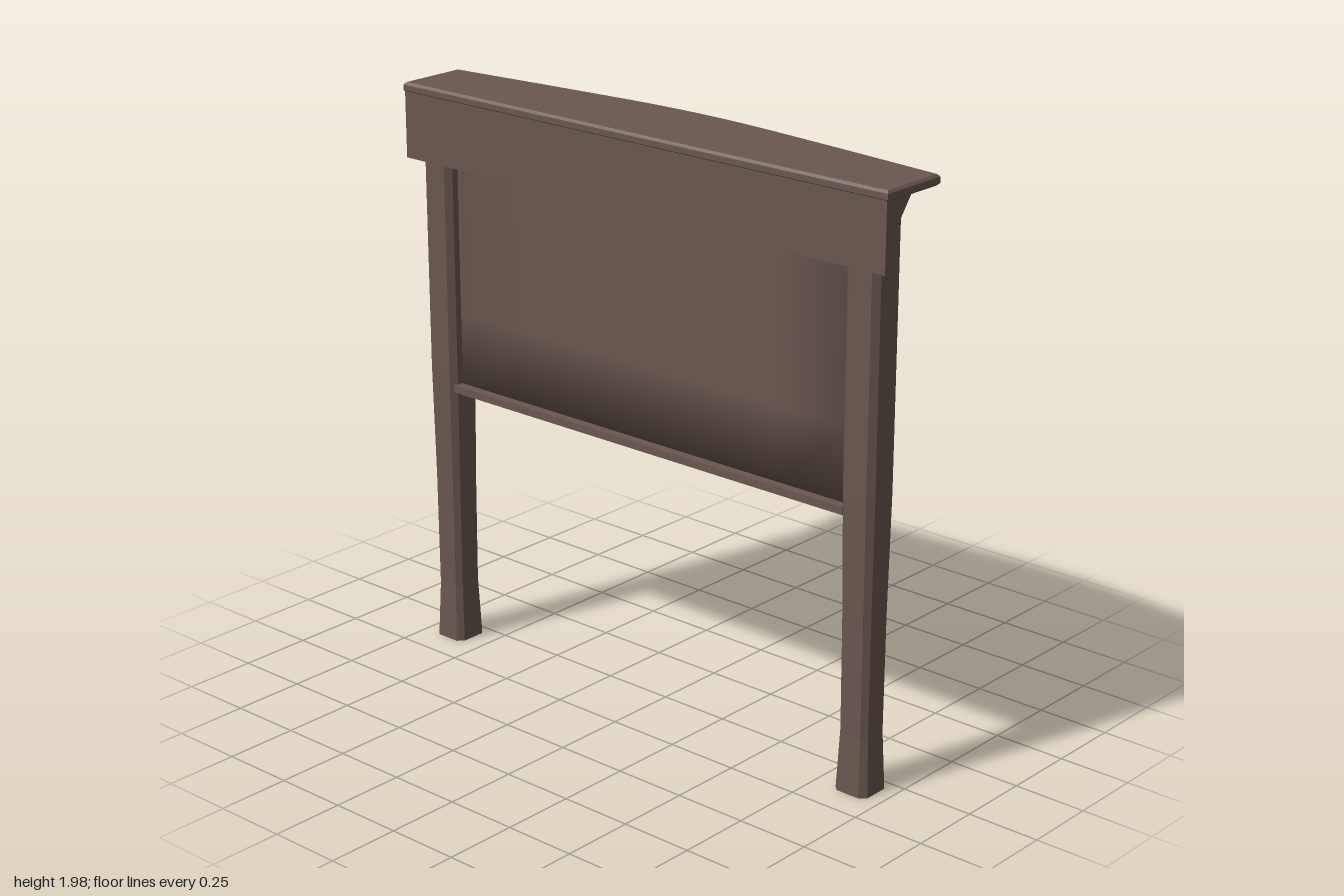
import * as THREE from 'three';

export function createModel() {
  const wood = new THREE.MeshStandardMaterial({ color: 0x6a5750 });
  wood.name = 'dark wood';
  const tan = new THREE.MeshStandardMaterial({ color: 0xb8a390 });
  tan.name = 'tan board';
  const group = new THREE.Group();

  function add(name, geometry, material, x = 0, y = 0, z = 0) {
    const mesh = new THREE.Mesh(geometry, material);
    mesh.name = name;
    mesh.position.set(x, y, z);
    group.add(mesh);
    return mesh;
  }

  // Chamfered square post, slightly waisted towards the foot
  function postGeometry() {
    const rings = [[0, 1], [0.2, 0.86], [0.6, 0.89], [1, 0.98], [1.945, 1]];
    const h = 0.063, c = 0.043;
    const outline = [[h, c], [c, h], [-c, h], [-h, c], [-h, -c], [-c, -h], [c, -h], [h, -c]];
    const pos = [];
    const point = (ring, i) => {
      const [x, z] = outline[i % 8];
      return [x * ring[1], ring[0], z * ring[1]];
    };
    for (let r = 0; r < rings.length - 1; r++) {
      for (let i = 0; i < 8; i++) {
        const a = point(rings[r], i), b = point(rings[r], i + 1);
        const d = point(rings[r + 1], i), e = point(rings[r + 1], i + 1);
        pos.push(...a, ...b, ...d, ...b, ...e, ...d);
      }
    }
    const top = rings[rings.length - 1];
    for (let i = 1; i < 7; i++) {
      pos.push(...point(rings[0], 0), ...point(rings[0], i + 1), ...point(rings[0], i));
      pos.push(...point(top, 0), ...point(top, i), ...point(top, i + 1));
    }
    // Wind every triangle outwards
    for (let t = 0; t < pos.length; t += 9) {
      const [a, b, d] = [0, 3, 6].map(k => new THREE.Vector3(...pos.slice(t + k, t + k + 3)));
      const n = b.clone().sub(a).cross(d.clone().sub(a));
      const mid = a.clone().add(b).add(d).divideScalar(3);
      mid.y = Math.abs(n.y) > 0.9 * n.length() ? mid.y - 1 : 0;
      if (Math.abs(n.y) > 0.9 * n.length()) mid.x = mid.z = 0;
      if (n.dot(mid) < 0) pos.splice(t + 3, 6, ...d.toArray(), ...b.toArray());
    }
    const g = new THREE.BufferGeometry();
    g.setAttribute('position', new THREE.Float32BufferAttribute(pos, 3));
    g.computeVertexNormals();
    return g;
  }

  const bracketShape = new THREE.Shape([
    new THREE.Vector2(-0.05, 1.805), new THREE.Vector2(-0.026, 1.805),
    new THREE.Vector2(0.078, 1.945), new THREE.Vector2(-0.05, 1.945),
  ]);
  const post = postGeometry();
  for (const [side, bracketZ] of [[1, 0.893], [-1, -0.84]]) {
    add(side > 0 ? 'leftPost' : 'rightPost', post, wood, -0.083, 0, side * 0.888);
    const bracket = new THREE.ExtrudeGeometry(bracketShape, {
      depth: 0.026, bevelSize: 0.006, bevelThickness: 0.012, bevelSegments: 1,
    });
    add(side > 0 ? 'leftBracket' : 'rightBracket', bracket, wood, 0, -0.004, bracketZ - 0.013);
  }

  // Bow-fronted cap with bevelled edges
  const cap = new THREE.Shape();
  cap.moveTo(-0.162, -0.992);
  cap.lineTo(0.074, -0.992);
  cap.lineTo(0.115, -0.6);
  cap.bezierCurveTo(0.14, -0.33, 0.157, -0.2, 0.157, 0);
  cap.bezierCurveTo(0.157, 0.2, 0.14, 0.33, 0.115, 0.6);
  cap.lineTo(0.074, 0.992);
  cap.lineTo(-0.162, 0.992);
  const capGeometry = new THREE.ExtrudeGeometry(cap, {
    depth: 0.019, bevelSize: 0.008, bevelThickness: 0.008, bevelSegments: 1, curveSegments: 6,
  });
  capGeometry.rotateX(-Math.PI / 2);
  add('cap', capGeometry, wood, 0, 1.948, 0);

  // Rear fascia under the cap and sill between the posts
  add('rearFascia', new THREE.BoxGeometry(0.02, 0.225, 1.99), wood, -0.158, 1.8325, 0);
  add('sill', new THREE.BoxGeometry(0.105, 0.026, 1.67), wood, -0.083, 0.935, 0);

  // Notice panel: soft normals around its rim, tan on the front only
  const w = 0.04, h = 1.0, d = 1.65;
  const panel = new THREE.BoxGeometry(w, h, d, 1, 4, 6);
  const p = panel.attributes.position, n = panel.attributes.normal;
  const rim = (v, half) => (Math.abs(v) > half - 1e-4 ? Math.sign(v) : 0);
  for (let i = 0; i < p.count; i++) {
    const v = new THREE.Vector3(rim(p.getX(i), w / 2), rim(p.getY(i), h / 2), rim(p.getZ(i), d / 2));
    v.normalize();
    n.setXYZ(i, v.x, v.y, v.z);
  }
  add('noticePanel', panel, [tan, wood, wood, wood, wood, wood], -0.083, 1.446, 0);

  return group;
}
